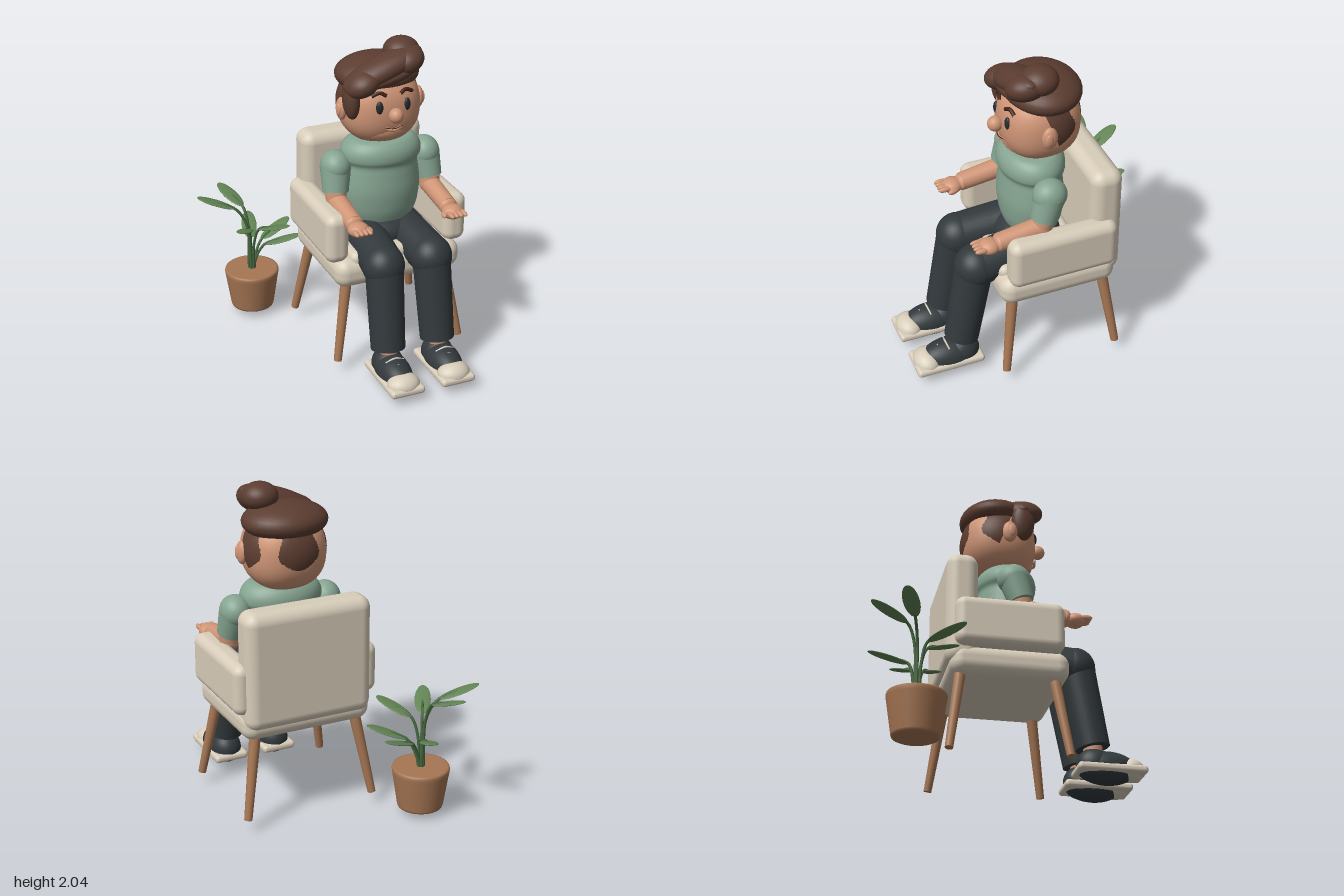
import * as THREE from 'three';
import { mergeVertices } from 'three/addons/utils/BufferGeometryUtils.js';
import { RoundedBoxGeometry } from 'three/addons/geometries/RoundedBoxGeometry.js';

const mat = (name, color) => Object.assign(new THREE.MeshStandardMaterial({ color }), { name });
const V = (x, y, z) => new THREE.Vector3(x, y, z);

export function createModel() {
  const M = {
    hair: mat('hair brown', 0x5c3d31), skin: mat('skin', 0xcf9576), shirt: mat('shirt green', 0x86a491),
    trousers: mat('charcoal', 0x32393c), cream: mat('cream', 0xd8cdba), wood: mat('wood', 0xa67653),
    leaf: mat('leaf green', 0x628454), stem: mat('stem green', 0x46683f),
    dark: mat('eye black', 0x262b2f), brow: mat('brow brown', 0x412319),
  };
  const model = new THREE.Group();
  model.name = 'seatedFigure';
  const group = (name, parent) => {
    const g = new THREE.Group();
    g.name = name;
    parent.add(g);
    return g;
  };
  const add = (parent, name, geo, material, p = [0, 0, 0], r = [0, 0, 0]) => {
    const m = new THREE.Mesh(geo, material);
    m.name = name;
    m.position.set(...p);
    m.rotation.set(...r);
    parent.add(m);
    return m;
  };
  const ball = (parent, name, material, p, s, r) =>
    add(parent, name, new THREE.SphereGeometry(1, 32, 20).scale(...s), material, p, r);
  const box = (parent, name, size, radius, p) =>
    add(parent, name, new RoundedBoxGeometry(...size, 6, radius), M.cream, p);
  // tapered rod between two points
  const rod = (parent, name, material, a, b, ra, rb) => {
    const d = b.clone().sub(a);
    const m = add(parent, name, new THREE.CylinderGeometry(rb, ra, d.length(), 28), material);
    m.position.copy(a).addScaledVector(d, 0.5);
    m.quaternion.setFromUnitVectors(V(0, 1, 0), d.normalize());
    return m;
  };

  // chair and sitter share one turned frame
  const seated = group('chairAndSitter', model);
  seated.position.set(0.285, 0, -0.09);
  seated.rotation.y = THREE.MathUtils.degToRad(12);

  // armchair
  const chair = group('armchair', seated);
  box(chair, 'seatBase', [0.84, 0.19, 0.74], 0.08, [0, 0.625, 0.01]);
  box(chair, 'seatCushion', [0.64, 0.1, 0.56], 0.045, [0, 0.71, 0.08]);
  box(chair, 'backrest', [0.82, 0.74, 0.2], 0.075, [0, 0.97, -0.29]);
  for (const s of [-1, 1]) {
    box(chair, 'armrest', [0.15, 0.32, 0.68], 0.06, [s * 0.395, 0.86, 0]);
    for (const t of [-1, 1])
      rod(chair, t > 0 ? 'frontLeg' : 'backLeg', M.wood, V(s * 0.42, 0.04, t * 0.365),
        V(s * 0.325, 0.6, t * 0.285), 0.025, 0.036);
  }

  // torso
  const body = group('body', seated);
  const torso = [[0, 0.8], [0.17, 0.82], [0.23, 0.9], [0.252, 1], [0.256, 1.08], [0.245, 1.17], [0.238, 1.23],
    [0.258, 1.27], [0.255, 1.32], [0.225, 1.365], [0.17, 1.39], [0, 1.4]];
  const curve = new THREE.SplineCurve(torso.map(p => new THREE.Vector2(...p)));
  const profile = curve.getPoints(50).map(p => new THREE.Vector2(Math.max(p.x, 0), p.y));
  add(body, 'shirt', new THREE.LatheGeometry(profile, 40).scale(1, 1, 0.76), M.shirt, [0, 0, 0.045]);
  ball(body, 'hips', M.trousers, [0, 0.775, 0.07], [0.265, 0.12, 0.2]);

  for (const s of [-1, 1]) {
    // arm
    const arm = group(s > 0 ? 'leftArm' : 'rightArm', seated);
    const shoulder = V(s * 0.3, 1.225, 0.045), cuff = V(s * 0.318, 1.07, 0.09);
    ball(arm, 'shoulder', M.shirt, shoulder.toArray(), [0.095, 0.1, 0.105]);
    rod(arm, 'sleeve', M.shirt, shoulder, cuff, 0.098, 0.08);
    const elbow = V(s * 0.318, 1.02, 0.1), wrist = V(s * 0.315, 0.98, 0.37);
    rod(arm, 'upperArm', M.skin, cuff, elbow, 0.066, 0.064);
    ball(arm, 'elbow', M.skin, elbow.toArray(), [0.065, 0.06, 0.065]);
    rod(arm, 'forearm', M.skin, elbow, wrist, 0.062, 0.056);
    ball(arm, 'wrist', M.skin, wrist.toArray(), [0.058, 0.054, 0.035]);
    ball(arm, 'palm', M.skin, [s * 0.315, 0.97, 0.43], [0.066, 0.045, 0.065]);
    for (let i = 0; i < 4; i++)
      ball(arm, 'finger', M.skin, [s * 0.315 + (i - 1.5) * 0.029, 0.979, 0.49], [0.016, 0.017, 0.043]);
    ball(arm, 'thumb', M.skin, [s * 0.255, 0.965, 0.44], [0.018, 0.018, 0.04], [0, -s * 0.35, 0]);

    // leg
    const leg = group(s > 0 ? 'leftLeg' : 'rightLeg', seated);
    const knee = V(s * 0.16, 0.71, 0.46);
    rod(leg, 'thigh', M.trousers, V(s * 0.13, 0.76, 0.08), knee, 0.13, 0.13);
    ball(leg, 'knee', M.trousers, knee.toArray(), [0.132, 0.135, 0.132]);
    rod(leg, 'shin', M.trousers, V(s * 0.16, 0.68, 0.475), V(s * 0.168, 0.19, 0.565), 0.118, 0.107);
    rod(leg, 'ankle', M.skin, V(s * 0.168, 0.24, 0.56), V(s * 0.168, 0.12, 0.57), 0.06, 0.06);

    // shoe
    const shoe = group(s > 0 ? 'leftShoe' : 'rightShoe', seated);
    shoe.position.set(s * 0.17, 0, 0.667);
    box(shoe, 'sole', [0.225, 0.05, 0.435], 0.022, [0, 0.043, 0]);
    ball(shoe, 'solePatch', M.trousers, [0, 0.019, 0], [0.055, 0.006, 0.1]);
    ball(shoe, 'upper', M.trousers, [0, 0.065, -0.02], [0.105, 0.105, 0.19]);
    ball(shoe, 'heel', M.trousers, [0, 0.08, -0.1], [0.098, 0.105, 0.11]);
    ball(shoe, 'toeCap', M.cream, [0, 0.06, 0.13], [0.105, 0.07, 0.085]);
    for (const z of [0, 0.05]) {
      const y = 0.17 - z * 0.35;
      const path = new THREE.CatmullRomCurve3([V(-0.06, y - 0.022, z), V(0, y + 0.003, z + 0.008), V(0.06, y - 0.022, z)]);
      add(shoe, 'lace', new THREE.TubeGeometry(path, 12, 0.006, 8), M.cream);
    }
  }

  // head: a sphere squared off a little
  const head = group('head', seated);
  const skull = new THREE.SphereGeometry(1, 48, 32);
  const pos = skull.attributes.position;
  for (let i = 0; i < pos.count; i++) {
    const v = V().fromBufferAttribute(pos, i);
    const n = [v.x, v.y, v.z].reduce((t, c) => t + Math.abs(c) ** 2.4, 0) ** (1 / 2.4);
    pos.setXYZ(i, 0.248 * v.x / n, 0.235 * v.y / n, 0.24 * v.z / n);
  }
  skull.deleteAttribute('uv');
  skull.deleteAttribute('normal');
  const smooth = mergeVertices(skull);
  smooth.computeVertexNormals();
  add(head, 'face', smooth, M.skin, [0, 1.585, 0]);
  ball(head, 'jaw', M.skin, [0, 1.47, 0.02], [0.215, 0.115, 0.205]);
  ball(head, 'nose', M.skin, [0, 1.59, 0.265], [0.045, 0.047, 0.047]);
  const lip = new THREE.CatmullRomCurve3([V(-0.052, 1.5, 0.23), V(0, 1.488, 0.24), V(0.052, 1.5, 0.23)]);
  add(head, 'lip', new THREE.TubeGeometry(lip, 16, 0.011, 10), M.skin);
  const mouth = new THREE.CatmullRomCurve3([V(-0.055, 1.507, 0.236), V(0, 1.5, 0.247), V(0.055, 1.507, 0.236)]);
  add(head, 'mouthLine', new THREE.TubeGeometry(mouth, 16, 0.003, 6), M.brow);
  for (const s of [-1, 1]) {
    ball(head, 'eye', M.dark, [s * 0.09, 1.637, 0.222], [0.023, 0.041, 0.018], [0, s * 0.25, 0]);
    const arch = new THREE.CatmullRomCurve3([V(s * 0.045, 1.708, 0.219), V(s * 0.085, 1.727, 0.207), V(s * 0.133, 1.708, 0.198)]);
    add(head, 'eyebrow', new THREE.TubeGeometry(arch, 12, 0.012, 8), M.brow);
    ball(head, 'ear', M.skin, [s * 0.255, 1.59, 0.03], [0.032, 0.072, 0.048]);
    ball(head, 'earInner', M.skin, [s * 0.278, 1.59, 0.04], [0.014, 0.042, 0.026]);
  }

  // hair
  const hair = group('hair', head);
  const cap = new THREE.SphereGeometry(1, 40, 24, 0, Math.PI * 2, 0, Math.PI / 2)
    .rotateX(-Math.PI / 2 + 0.35).scale(0.262, 0.245, 0.25);
  const capMesh = add(hair, 'backHair', cap, M.hair, [0, 1.6, 0]);
  M.hair.side = THREE.DoubleSide;
  capMesh.name = 'backHair';
  ball(hair, 'crown', M.hair, [0, 1.775, -0.025], [0.265, 0.115, 0.228]);
  ball(hair, 'quiff', M.hair, [-0.03, 1.845, 0.125], [0.27, 0.08, 0.115], [0, 0, 0.36]);
  ball(hair, 'quiffEnd', M.hair, [0.12, 1.88, 0.125], [0.115, 0.082, 0.12], [0, 0, 0.36]);
  ball(hair, 'fringe', M.hair, [-0.17, 1.78, 0.14], [0.115, 0.078, 0.12], [0, 0, 0.45]);
  ball(hair, 'frontStrand', M.hair, [0, 1.805, 0.15], [0.2, 0.052, 0.085], [0, 0, 0.24]);
  ball(hair, 'sideLock', M.hair, [-0.232, 1.68, 0.12], [0.05, 0.13, 0.075], [0, 0, 0.06]);
  ball(hair, 'bun', M.hair, [0.128, 1.915, 0.045], [0.112, 0.086, 0.112]);

  // potted plant
  const plant = group('pottedPlant', model);
  plant.position.set(-0.462, 0, -0.535);
  const pot = [[0, 0], [0.125, 0], [0.138, 0.006], [0.143, 0.02], [0.176, 0.235], [0.179, 0.255], [0.175, 0.268],
    [0.165, 0.27], [0, 0.27]].map(p => new THREE.Vector2(...p));
  add(plant, 'pot', new THREE.LatheGeometry(pot, 40), M.wood);
  // each leaf: tip x, tip z, height at its base
  const leaves = [[-0.34, -0.045, 0.71], [-0.175, -0.265, 0.7], [0.02, -0.295, 0.46], [0.28, -0.175, 0.45],
    [0.32, 0.095, 0.45], [0.222, 0.225, 0.58], [-0.098, 0.285, 0.59]];
  for (const [x, z, y] of leaves) {
    const reach = Math.hypot(x, z), half = 0.128, pitch = 0.34;
    const k = (reach - half * Math.cos(pitch)) / reach;
    const b = (reach - 2 * half * Math.cos(pitch)) / reach;
    ball(plant, 'leaf', M.leaf, [x * k, y + half * Math.sin(pitch), z * k], [half, 0.009, 0.05],
      [0, -Math.atan2(z, x), pitch]);
    const path = new THREE.CatmullRomCurve3([V(x * 0.05, 0.25, z * 0.05), V(x * 0.08, y - 0.12, z * 0.08),
      V(x * b, y, z * b), V(x * k, y + half * Math.sin(pitch), z * k)]);
    add(plant, 'stem', new THREE.TubeGeometry(path, 20, 0.009, 8), M.stem);
  }
  return model;
}
